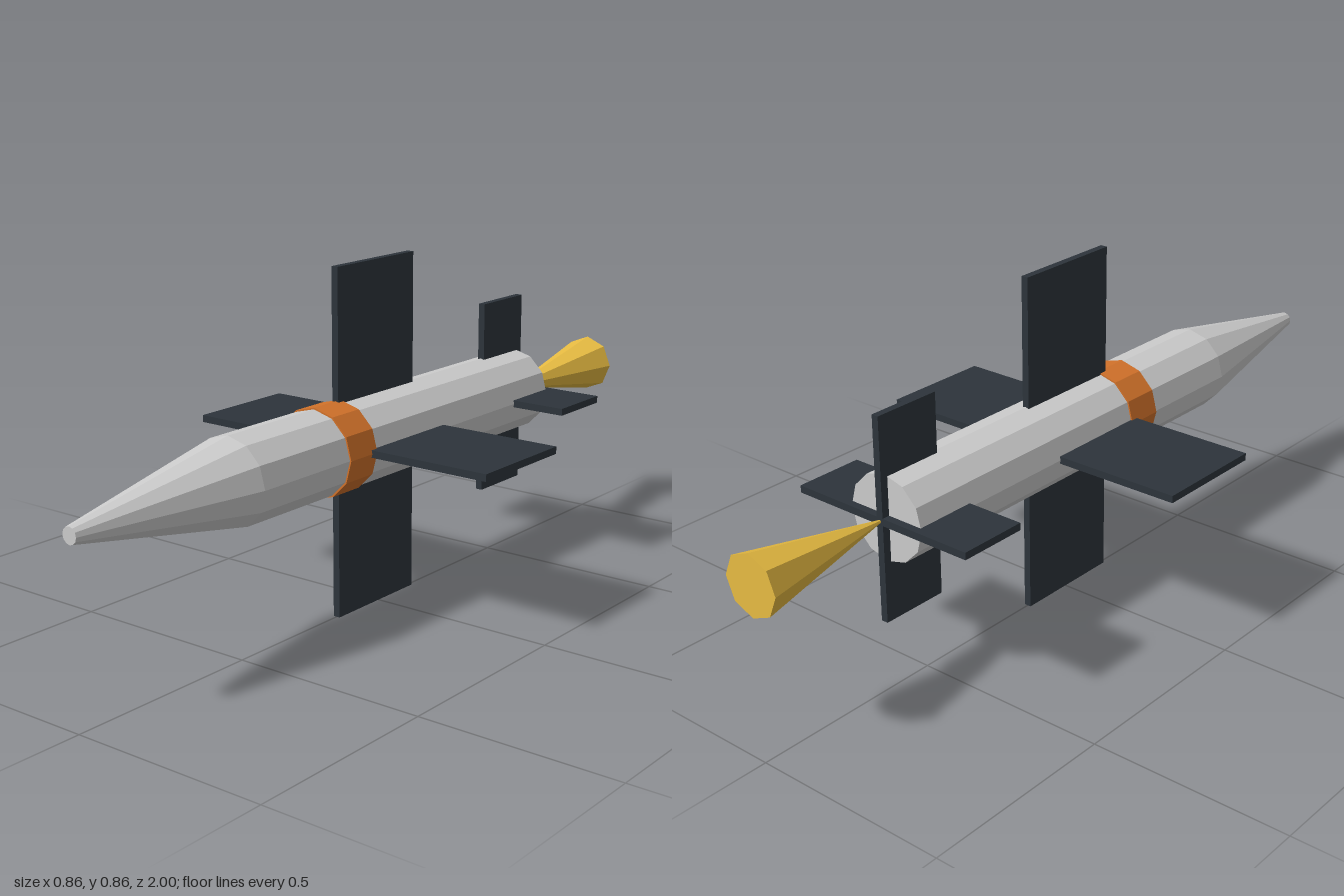
import * as THREE from 'three';

const AXIS_Y = 0.432;

const material = (color) => new THREE.MeshStandardMaterial({ color, flatShading: true });

export function createModel() {
  const group = new THREE.Group();
  const grey = material(0xcccccc);
  const orange = material(0xd2722a);
  const dark = material(0x2d343b);
  const yellow = material(0xe8bc42);

  const add = (name, geometry, mat, z) => {
    const mesh = new THREE.Mesh(geometry, mat);
    mesh.name = name;
    mesh.position.set(0, AXIS_Y, z);
    group.add(mesh);
  };

  // Faceted round section lying along z, from its back to its front
  const section = (name, back, front, rBack, rFront, sides, mat) => {
    const geometry = new THREE.CylinderGeometry(rFront, rBack, front - back, sides);
    geometry.rotateX(Math.PI / 2);
    add(name, geometry, mat, (back + front) / 2);
  };

  section('body', -0.61, 0.53, 0.107, 0.107, 12, grey);
  section('noseCone', 0.53, 1, 0.107, 0.02, 12, grey);
  section('band', 0.137, 0.235, 0.111, 0.111, 12, orange);
  section('exhaustFlame', -1, -0.61, 0.076, 0, 8, yellow);

  // Each fin set is a cross of two flat plates running through the body
  const finCross = (name, back, front, span, thickness) => {
    const length = front - back;
    const z = (back + front) / 2;
    add(name + 'Horizontal', new THREE.BoxGeometry(span, thickness, length), dark, z);
    add(name + 'Vertical', new THREE.BoxGeometry(thickness, span, length), dark, z);
  };

  finCross('wing', -0.138, 0.156, 0.864, 0.018);
  finCross('tailFin', -0.63, -0.453, 0.506, 0.018);

  return group;
}
